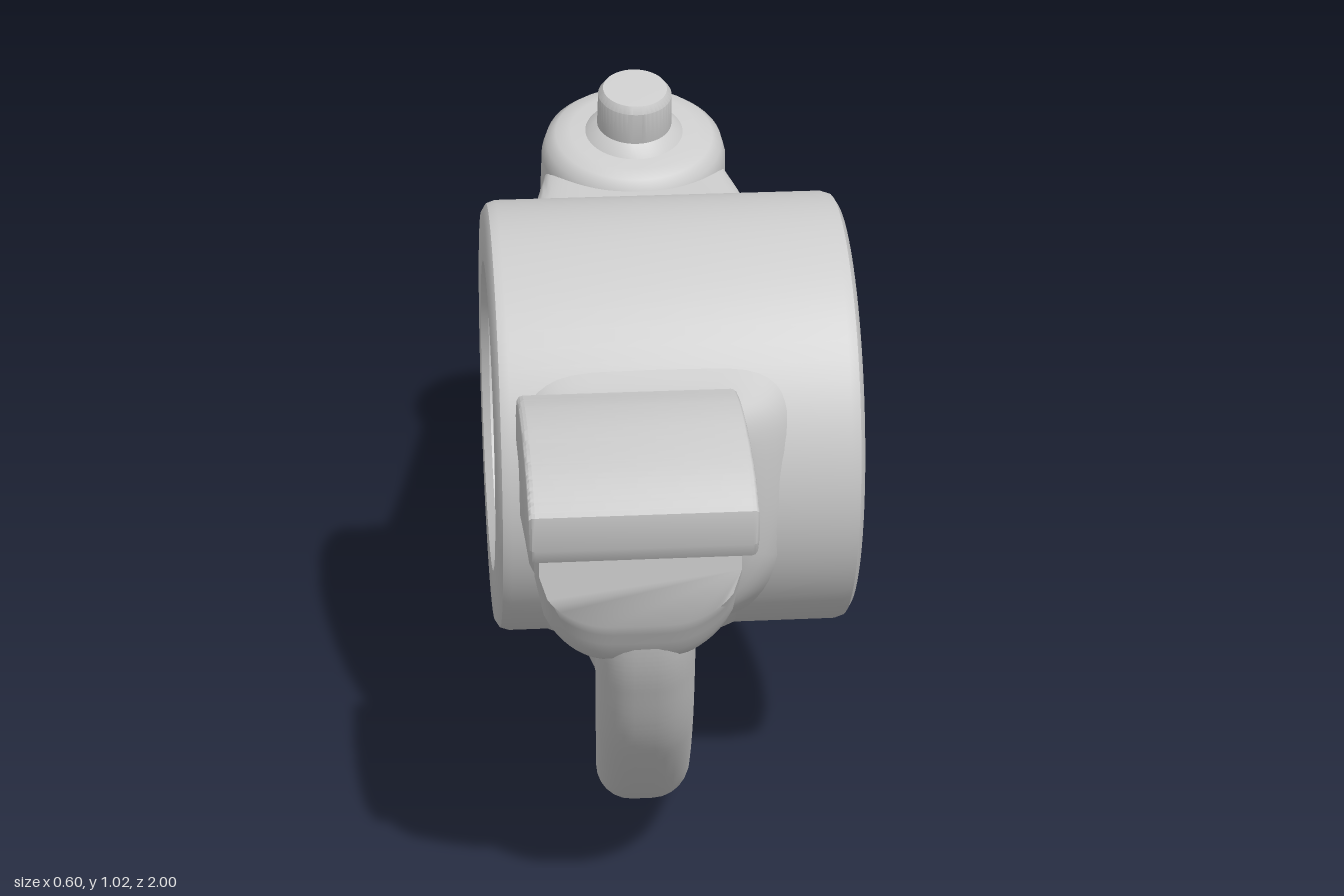
import * as THREE from 'three';
import { toCreasedNormals } from 'three/addons/utils/BufferGeometryUtils.js';

const material = new THREE.MeshStandardMaterial({ color: 0xcccccc });
const BORE = { y: 0.665, z: 0.18 };

function part(name, geometry, crease = 0.6) {
  const mesh = new THREE.Mesh(toCreasedNormals(geometry, crease), material);
  mesh.name = name;
  return mesh;
}

const points = (list) => list.map(([a, b]) => new THREE.Vector2(a, b));

// Lathe whose axis runs along x, placed on the bore centre
function latheX(profile, start = 0, length = Math.PI * 2) {
  return new THREE.LatheGeometry(points(profile), 72, start, length)
    .rotateZ(-Math.PI / 2).translate(0, BORE.y, BORE.z);
}

// The web runs slightly diagonally: x shifts with z
function skew(geometry) {
  const p = geometry.attributes.position;
  for (let i = 0; i < p.count; i++) p.setX(i, p.getX(i) - 0.03 - 0.065 * p.getZ(i));
  return geometry;
}

// Side profile in (z, y), extruded along x and centred on x = 0
function extrudeX(shape, width, bevel, segments) {
  return new THREE.ExtrudeGeometry(shape, {
    depth: width - 2 * bevel, bevelThickness: bevel, bevelSize: bevel,
    bevelOffset: -bevel, bevelSegments: segments, curveSegments: 32,
  }).translate(0, 0, bevel - width / 2).rotateY(-Math.PI / 2);
}

// Loft of rounded-box sections [z, x0, x1, y0, y1], ordered by rising z;
// pinch narrows the underside into a keel
function loft(sections, power, pinch) {
  const low = new THREE.CatmullRomCurve3(sections.map((s) => new THREE.Vector3(s[1], s[3], s[0])));
  const high = new THREE.CatmullRomCurve3(sections.map((s) => new THREE.Vector3(s[2], s[4], s[0])));
  const rows = 28, n = 48, pos = [], index = [];
  const round = (v) => Math.sign(v) * Math.abs(v) ** power;
  for (let i = 0; i <= rows; i++) {
    const a = low.getPoint(i / rows), b = high.getPoint(i / rows);
    for (let j = 0; j < n; j++) {
      const t = (j / n) * Math.PI * 2;
      const u = round(Math.cos(t)), v = round(Math.sin(t));
      const k = 1 - pinch * Math.max(0, -v) ** 2;
      pos.push((a.x + b.x) / 2 + ((b.x - a.x) / 2) * u * k, (a.y + b.y) / 2 + ((b.y - a.y) / 2) * v, a.z);
      if (i < rows) {
        const p = i * n + j, q = i * n + ((j + 1) % n);
        index.push(p, q, p + n, q, q + n, p + n);
      }
    }
  }
  // End caps
  for (let j = 1; j < n - 1; j++) {
    const e = rows * n;
    index.push(0, j + 1, j, e, e + j, e + j + 1);
  }
  const g = new THREE.BufferGeometry();
  g.setAttribute('position', new THREE.Float32BufferAttribute(pos, 3));
  g.setIndex(index);
  return g;
}

export function createModel() {
  const model = new THREE.Group();
  model.name = 'rockerArm';

  // Pivot barrel with open bore
  model.add(part('pivotBarrel', latheX([
    [0.25, -0.285], [0.262, -0.298], [0.345, -0.298], [0.358, -0.29], [0.363, -0.275],
    [0.363, 0.275], [0.358, 0.29], [0.345, 0.298], [0.262, 0.298], [0.25, 0.285], [0.25, -0.285],
  ])));

  // Curved web hanging under the barrel
  const web = new THREE.Shape();
  web.moveTo(0.975, 0.76);
  web.splineThru(points([
    [0.955, 0.63], [0.91, 0.51], [0.81, 0.35], [0.62, 0.17], [0.42, 0.06], [0.22, 0.013], [0.05, 0.004],
    [-0.13, 0.02], [-0.28, 0.08], [-0.42, 0.205], [-0.53, 0.35], [-0.62, 0.455], [-0.74, 0.52],
  ]));
  web.lineTo(-0.74, 0.68);
  web.lineTo(-0.2, 0.68);
  web.lineTo(-0.1, 0.76);
  web.lineTo(0.18, 0.995);
  web.lineTo(0.5, 0.76);
  web.holes.push(new THREE.Path().absarc(BORE.z, BORE.y, 0.285, 0, Math.PI * 2, true));
  model.add(part('web', skew(extrudeX(web, 0.155, 0.06, 6)), 0.7));

  // Fillet where the barrel meets the web
  const flare = [[0.35, 0.19], [0.366, 0.15], [0.378, 0.12], [0.4, 0.094], [0.43, 0.079], [0.47, 0.07]];
  const mirrored = flare.slice().reverse().map(([r, x]) => [r, x]);
  model.add(part('webFillet', skew(latheX(
    [...flare.map(([r, x]) => [r, -x]), ...mirrored], 0.25, Math.PI - 0.4)), 0.8));

  // Neck joining the barrel to the front pad
  model.add(part('padNeck', loft([
    [0.45, -0.28, 0.23, 0.4, 0.88],
    [0.53, -0.265, 0.17, 0.44, 0.85],
    [0.59, -0.255, 0.1, 0.5, 0.85],
    [0.66, -0.25, 0.065, 0.55, 0.86],
    [0.8, -0.255, 0.055, 0.57, 0.87],
    [0.92, -0.258, 0.055, 0.575, 0.86],
    [0.98, -0.255, 0.05, 0.66, 0.84],
  ], 0.4, 0.4), 0.8));

  // Contact pad with curved top
  const pad = new THREE.Shape();
  pad.moveTo(0.62, 0.81);
  pad.lineTo(0.985, 0.775);
  pad.lineTo(1, 0.8);
  pad.lineTo(1, 0.855);
  pad.splineThru(points([[0.93, 0.893], [0.82, 0.914], [0.73, 0.916], [0.655, 0.905]]));
  pad.lineTo(0.62, 0.865);
  model.add(part('contactPad', extrudeX(pad, 0.345, 0.01, 3).translate(-0.098, 0, 0)));

  // Tapered rear arm
  model.add(part('rearArm', loft([
    [-0.78, -0.14, 0.18, 0.62, 0.8],
    [-0.62, -0.17, 0.21, 0.625, 0.785],
    [-0.45, -0.205, 0.24, 0.605, 0.77],
    [-0.28, -0.245, 0.27, 0.585, 0.752],
    [-0.21, -0.262, 0.282, 0.575, 0.765],
    [-0.16, -0.28, 0.288, 0.55, 0.81],
    [-0.11, -0.285, 0.29, 0.51, 0.86],
  ], 0.33, 0.4), 0.8));

  // Tilted boss carrying the adjusting screw
  const end = new THREE.Group();
  end.name = 'adjusterEnd';
  end.position.set(0.02, 0.55, -0.81);
  end.rotation.x = 0.29;
  const turned = (name, profile, sides = 48) =>
    end.add(part(name, new THREE.LatheGeometry(points(profile), sides)));
  turned('boss', [
    [0, -0.005], [0.16, -0.005], [0.176, 0.01], [0.18, 0.03], [0.174, 0.26],
    [0.166, 0.288], [0.148, 0.304], [0.12, 0.31], [0, 0.312],
  ]);
  turned('screwHead', [
    [0.1, 0.3], [0.086, 0.318], [0.07, 0.33], [0.069, 0.395], [0.06, 0.408], [0, 0.41],
  ]);
  turned('nutFlange', [[0, -0.085], [0.15, -0.085], [0.165, -0.07], [0.168, -0.02], [0.155, 0], [0, 0]]);
  turned('hexNut', [[0, -0.175], [0.125, -0.175], [0.148, -0.155], [0.152, -0.06], [0, -0.06]], 6);
  turned('screwTip', [[0, -0.28], [0.05, -0.28], [0.066, -0.265], [0.082, -0.19], [0.085, -0.16], [0, -0.16]], 24);
  model.add(end);

  return model;
}
